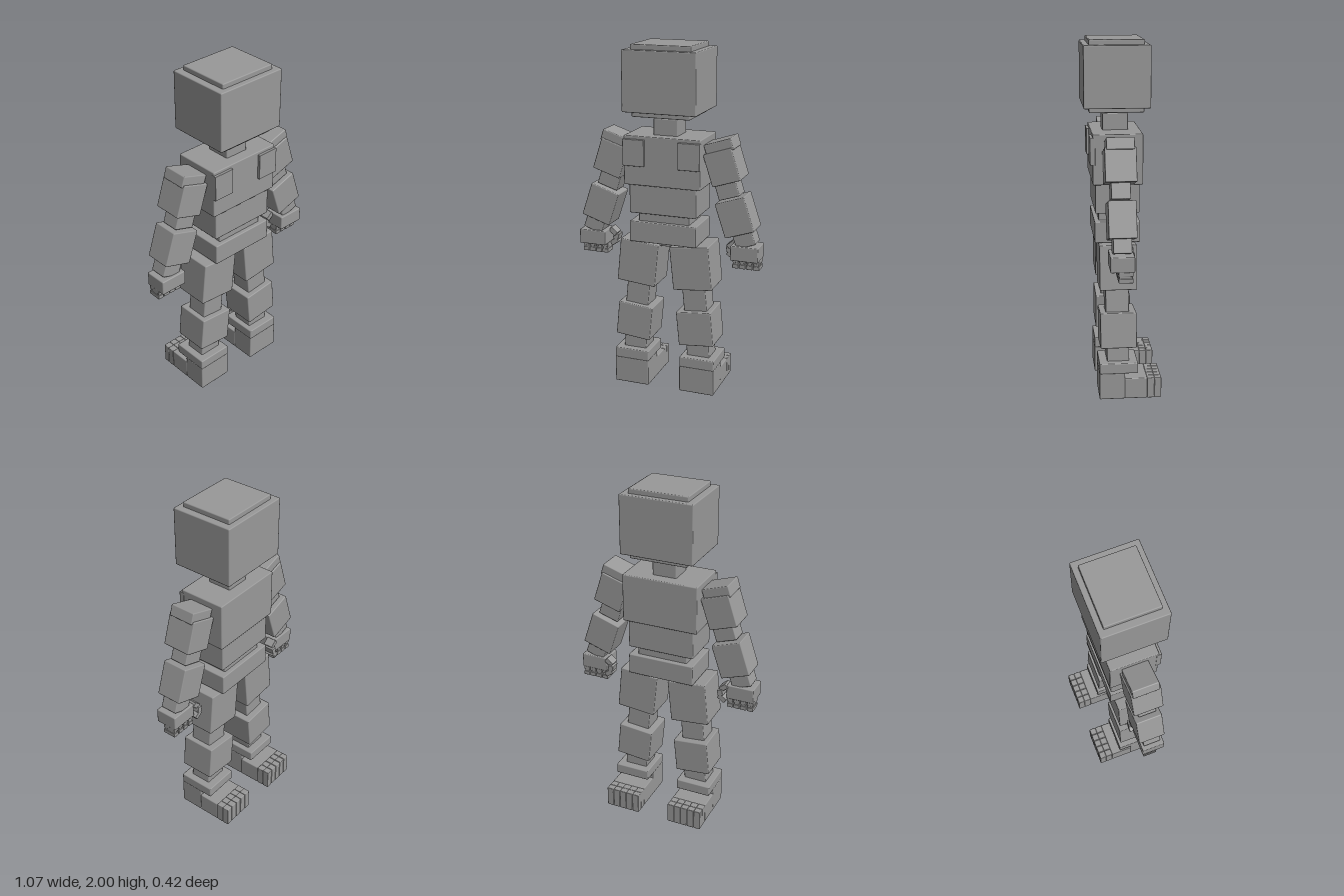
import * as THREE from 'three';
import { RoundedBoxGeometry } from 'three/addons/geometries/RoundedBoxGeometry.js';

const grey = new THREE.MeshStandardMaterial({ color: 0x999999 });
grey.name = 'plain grey';

// Softly bevelled block given by its centre, size and tilt about z (degrees)
function block(parent, name, [x, y, z], [w, h, d], tilt = 0) {
  const bevel = Math.min(0.006, Math.min(w, h, d) * 0.12);
  const mesh = new THREE.Mesh(new RoundedBoxGeometry(w, h, d, 1, bevel), grey);
  mesh.name = name;
  mesh.position.set(x, y, z);
  mesh.rotation.z = THREE.MathUtils.degToRad(tilt);
  parent.add(mesh);
  return mesh;
}

function buildTorso() {
  const g = new THREE.Group();
  g.name = 'torso';
  block(g, 'head', [0, 1.805, 0.03], [0.424, 0.335, 0.362]);
  block(g, 'headTop', [0, 1.975, 0.03], [0.345, 0.05, 0.3]);
  block(g, 'jaw', [0, 1.64, 0.03], [0.335, 0.06, 0.3]);
  block(g, 'neck', [0, 1.53, 0.03], [0.142, 0.13, 0.142]);
  block(g, 'chest', [0, 1.364, 0.028], [0.446, 0.278, 0.274]);
  block(g, 'abdomen', [0, 1.145, 0.029], [0.394, 0.17, 0.244]);
  block(g, 'waist', [0, 1.037, 0.03], [0.3, 0.08, 0.2]);
  block(g, 'pelvis', [0, 0.953, 0.029], [0.394, 0.12, 0.252]);
  block(g, 'crotch', [0, 0.885, 0.03], [0.17, 0.04, 0.14]);
  for (const s of [-1, 1]) block(g, 'chestPad', [s * 0.161, 1.41, 0.165], [0.127, 0.15, 0.03]);
  return g;
}

// s = 1 is the +x side, s = -1 the mirrored one
function buildArm(s) {
  const g = new THREE.Group();
  g.name = s > 0 ? 'leftArm' : 'rightArm';
  const part = (name, [x, y, z], size, tilt = 0) => block(g, name, [s * x, y, z], size, s * tilt);
  part('shoulderCap', [0.305, 1.46, 0.03], [0.16, 0.065, 0.15], 18);
  part('upperArm', [0.327, 1.352, 0.03], [0.168, 0.185, 0.168], 18);
  part('elbow', [0.344, 1.238, 0.03], [0.124, 0.13, 0.104], 18);
  part('forearm', [0.4, 1.074, 0.028], [0.175, 0.2, 0.15], 18.5);
  part('wrist', [0.447, 0.955, 0.03], [0.115, 0.1, 0.1], 19);
  part('hand', [0.457, 0.868, 0.032], [0.16, 0.085, 0.13]);
  // Four fingers, two joints each, under the hand
  for (let i = 0; i < 4; i++) {
    const x = 0.397 + i * 0.04;
    part('fingerBase', [x, 0.816, 0.015], [0.036, 0.025, 0.078]);
    part('fingerMiddle', [x, 0.797, 0.015], [0.03, 0.02, 0.07]);
    part('fingertip', [x, 0.78, 0.015], [0.036, 0.024, 0.078]);
  }
  // Thumb curling on the inner side
  part('thumbBase', [0.36, 0.891, -0.01], [0.05, 0.03, 0.06], 40);
  part('thumbMiddle', [0.345, 0.86, -0.02], [0.032, 0.035, 0.06], 10);
  part('thumbTip', [0.357, 0.827, -0.02], [0.05, 0.03, 0.06], -35);
  return g;
}

function buildLeg(s) {
  const g = new THREE.Group();
  g.name = s > 0 ? 'leftLeg' : 'rightLeg';
  const part = (name, [x, y, z], size, tilt = 0) => block(g, name, [s * x, y, z], size, s * tilt);
  part('thigh', [0.159, 0.76, 0.031], [0.23, 0.253, 0.207], 5.5);
  part('knee', [0.173, 0.568, 0.035], [0.138, 0.17, 0.13], 5.5);
  part('shin', [0.185, 0.398, 0.031], [0.208, 0.203, 0.203], 5.5);
  part('ankle', [0.193, 0.25, 0.032], [0.136, 0.12, 0.125], 4);
  part('footTop', [0.2, 0.187, 0.031], [0.209, 0.062, 0.217]);
  part('heel', [0.2, 0.082, 0.068], [0.209, 0.156, 0.144]);
  part('footFront', [0.2, 0.065, -0.065], [0.209, 0.122, 0.13]);
  // Five toes with two joints each
  for (let i = 0; i < 5; i++) {
    const x = 0.116 + i * 0.042;
    part('toeBase', [x, 0.065, -0.15], [0.041, 0.122, 0.043]);
    part('toeTip', [x, 0.065, -0.19], [0.041, 0.122, 0.04]);
  }
  return g;
}

export function createModel() {
  const model = new THREE.Group();
  model.name = 'blockFigure';
  model.add(buildTorso());
  for (const s of [-1, 1]) model.add(buildArm(s), buildLeg(s));
  return model;
}
